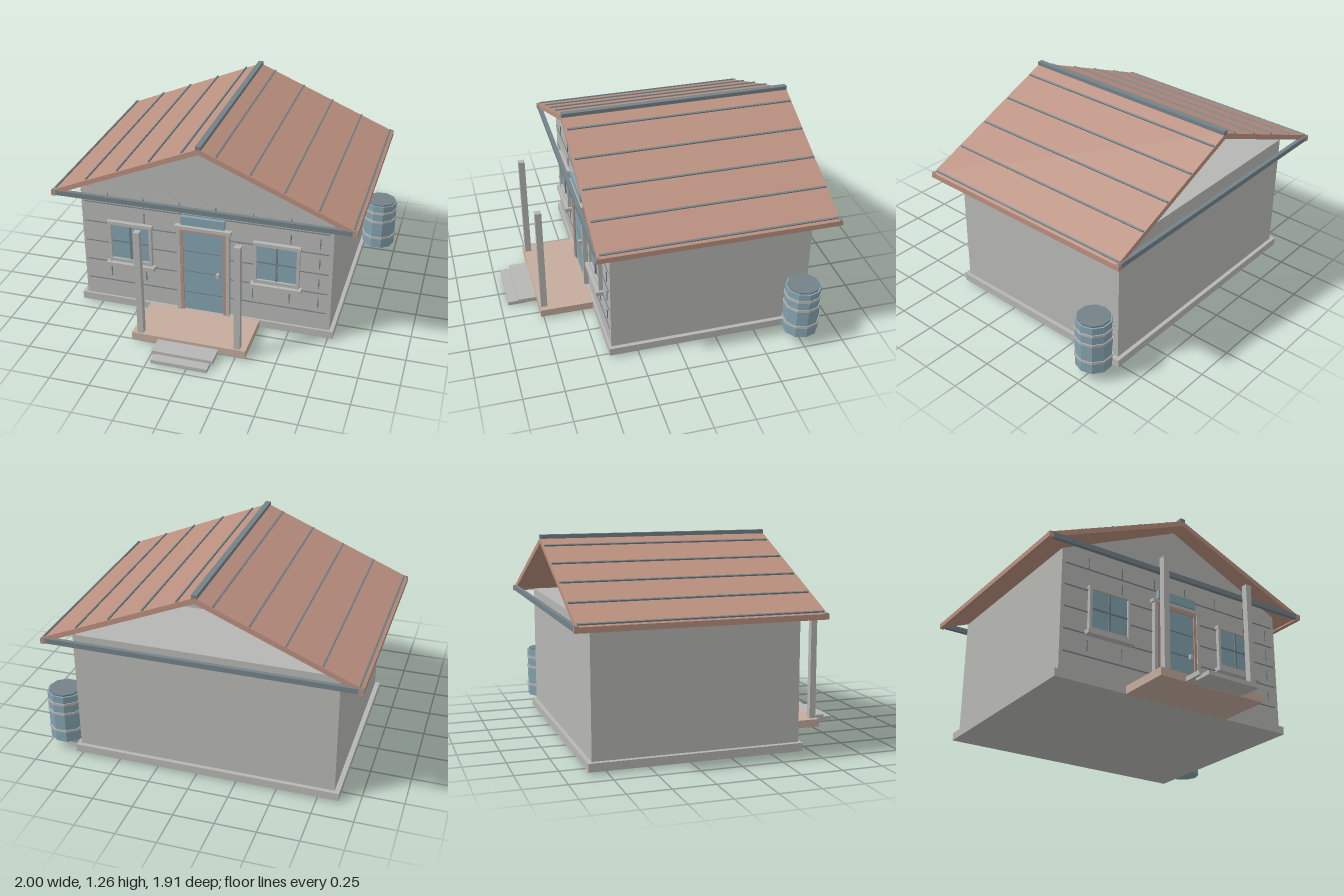
import * as THREE from 'three';

const mat = (name, color) => {
  const m = new THREE.MeshStandardMaterial({ color });
  m.name = name;
  return m;
};

export function createModel() {
  const wall = mat('wallGrey', 0xb6b6b3);
  const brown = mat('roofBrown', 0xba907f);
  const blue = mat('paleBlue', 0x84a3b0);
  const slate = mat('slate', 0x748288);
  const deck = mat('deckTan', 0xc4ab9d);
  const model = new THREE.Group();
  model.name = 'cabin';
  const CX = -0.045; // centre line of the house

  const group = (name) => {
    const g = new THREE.Group();
    g.name = name;
    model.add(g);
    return g;
  };
  const add = (name, geo, material, parent = model) => {
    const m = new THREE.Mesh(geo, material);
    m.name = name;
    parent.add(m);
    return m;
  };
  // Box given by its limits on each axis
  const box = (name, material, [x0, x1], [y0, y1], [z0, z1], parent) => {
    const m = add(name, new THREE.BoxGeometry(x1 - x0, y1 - y0, z1 - z0), material, parent);
    m.position.set((x0 + x1) / 2, (y0 + y1) / 2, (z0 + z1) / 2);
    return m;
  };
  // Polygon in the front plane, extruded from z0 to z1
  const prism = (name, material, pts, z0, z1, parent) => {
    const shape = new THREE.Shape(pts.map(([x, y]) => new THREE.Vector2(x, y)));
    const geo = new THREE.ExtrudeGeometry(shape, { depth: z1 - z0, bevelEnabled: false });
    add(name, geo, material, parent).position.set(CX, 0, z0);
  };

  // Foundation, walls and gable
  box('foundation', wall, [-0.88, 0.785], [0.015, 0.065], [-0.86, 0.43]);
  box('walls', wall, [-0.85, 0.76], [0.065, 0.835], [-0.835, 0.415]);
  prism('gable', wall, [[-0.8, 0.835], [0.8, 0.835], [0, 1.207]], -0.3, 0.414);

  // Roof
  const roof = group('roof');
  prism('roofSlab', brown,
    [[-0.95, 0.812], [0, 1.21], [0.95, 0.812], [0.95, 0.845], [0, 1.245], [-0.95, 0.845]], -0.94, 0.515, roof);
  box('ridgeCap', slate, [CX - 0.017, CX + 0.017], [1.235, 1.262], [-0.94, 0.515], roof);
  box('frontTieBar', slate, [-0.998, 0.903], [0.816, 0.848], [0.497, 0.522], roof);
  box('backTieBar', slate, [-0.998, 0.903], [0.816, 0.848], [-0.952, -0.927], roof);
  const slope = Math.atan(0.4 / 0.95);
  for (const s of [-1, 1]) {
    const e = CX + s * 0.94;
    box('eaveBoard', brown, [e - 0.014, e + 0.014], [0.812, 0.845], [-0.954, 0.524], roof);
    for (let i = 0; i < 5; i++) {
      const d = 0.105 + i * 0.2065;
      const rib = add('roofRib', new THREE.BoxGeometry(0.011, 0.014, 1.435), slate, roof);
      rib.position.set(CX + s * d, 1.247 - d * 0.4 / 0.95, -0.2175);
      rib.rotation.z = -s * slope;
    }
  }

  // Board joints on the front wall
  const joints = group('wallJoints');
  for (let i = 0; i < 5; i++) {
    const y = 0.187 + i * 0.1395;
    box('boardJoint', slate, [-0.83, 0.735], [y - 0.003, y + 0.003], [0.414, 0.42], joints);
  }
  const ends = [
    [0.255, [-0.67, -0.435, 0.265, 0.5, 0.68]],
    [0.395, [0.68]],
    [0.535, [0.68]],
    [0.675, [-0.435, 0.5, 0.68]],
    [0.785, [-0.67, -0.435, -0.2, 0.03, 0.265, 0.5]],
  ];
  for (const [y, xs] of ends) for (const x of xs) {
    box('boardEnd', slate, [x - 0.003, x + 0.003], [y - 0.034, y + 0.034], [0.414, 0.42], joints);
  }

  // Door with trim, panels and sign board
  const door = group('door');
  box('doorLeaf', blue, [-0.178, 0.083], [0.07, 0.64], [0.41, 0.432], door);
  for (const y of [0.2, 0.355, 0.5]) {
    box('doorGroove', slate, [-0.165, 0.067], [y - 0.003, y + 0.003], [0.431, 0.436], door);
  }
  for (const s of [-1, 1]) {
    const c = -0.0475;
    const span = (a, b) => (s > 0 ? [c + a, c + b] : [c - b, c - a]);
    box('doorFrameSide', brown, span(0.13, 0.148), [0.065, 0.653], [0.41, 0.44], door);
    box('doorTrimSide', wall, span(0.148, 0.17), [0.065, 0.656], [0.41, 0.446], door);
  }
  box('doorFrameTop', brown, [-0.1955, 0.1005], [0.637, 0.655], [0.41, 0.44], door);
  box('doorTrimTop', wall, [-0.23, 0.133], [0.655, 0.677], [0.41, 0.45], door);
  box('doorHandle', wall, [0.04, 0.057], [0.34, 0.37], [0.43, 0.46], door);
  box('signBoard', blue, [-0.187, 0.092], [0.688, 0.745], [0.41, 0.446], door);

  // Front windows
  for (const cx of [-0.528, 0.418]) {
    const w = group('window');
    box('glass', blue, [cx - 0.127, cx + 0.127], [0.36, 0.615], [0.41, 0.424], w);
    box('uprightBar', slate, [cx - 0.006, cx + 0.006], [0.36, 0.615], [0.42, 0.432], w);
    box('crossBar', slate, [cx - 0.127, cx + 0.127], [0.488, 0.498], [0.42, 0.43], w);
    for (const s of [-1, 1]) {
      const x = cx + s * 0.134;
      box('jamb', wall, [x - 0.009, x + 0.009], [0.345, 0.615], [0.41, 0.44], w);
    }
    box('lintel', wall, [cx - 0.148, cx + 0.148], [0.612, 0.634], [0.41, 0.442], w);
    box('lowerRail', wall, [cx - 0.13, cx + 0.13], [0.345, 0.37], [0.41, 0.438], w);
    box('sill', wall, [cx - 0.16, cx + 0.16], [0.318, 0.346], [0.41, 0.462], w);
  }

  // Porch and steps
  const porch = group('porch');
  box('porchDeck', deck, [-0.41, 0.316], [0.015, 0.064], [0.43, 0.77], porch);
  for (const x of [-0.357, 0.26]) {
    box('porchPost', wall, [x - 0.019, x + 0.019], [0.064, 0.775], [0.72, 0.76], porch);
  }
  box('upperStep', wall, [-0.24, 0.146], [0.017, 0.045], [0.77, 0.89], porch);
  box('lowerStep', wall, [-0.224, 0.13], [0, 0.025], [0.838, 0.953], porch);

  // Water barrel, ten-sided
  const barrel = group('barrel');
  barrel.position.set(0.882, 0, -0.757);
  const ring = (name, material, r, y0, y1) => {
    const m = add(name, new THREE.CylinderGeometry(r, r, y1 - y0, 10).toNonIndexed(), material, barrel);
    m.geometry.computeVertexNormals();
    m.position.y = (y0 + y1) / 2;
    m.rotation.y = Math.PI / 2;
  };
  ring('barrelBody', blue, 0.111, 0.07, 0.393);
  ring('barrelLid', slate, 0.1, 0.39, 0.403);
  for (const y of [0.147, 0.272, 0.34]) ring('barrelHoop', wall, 0.116, y - 0.008, y + 0.008);

  return model;
}
